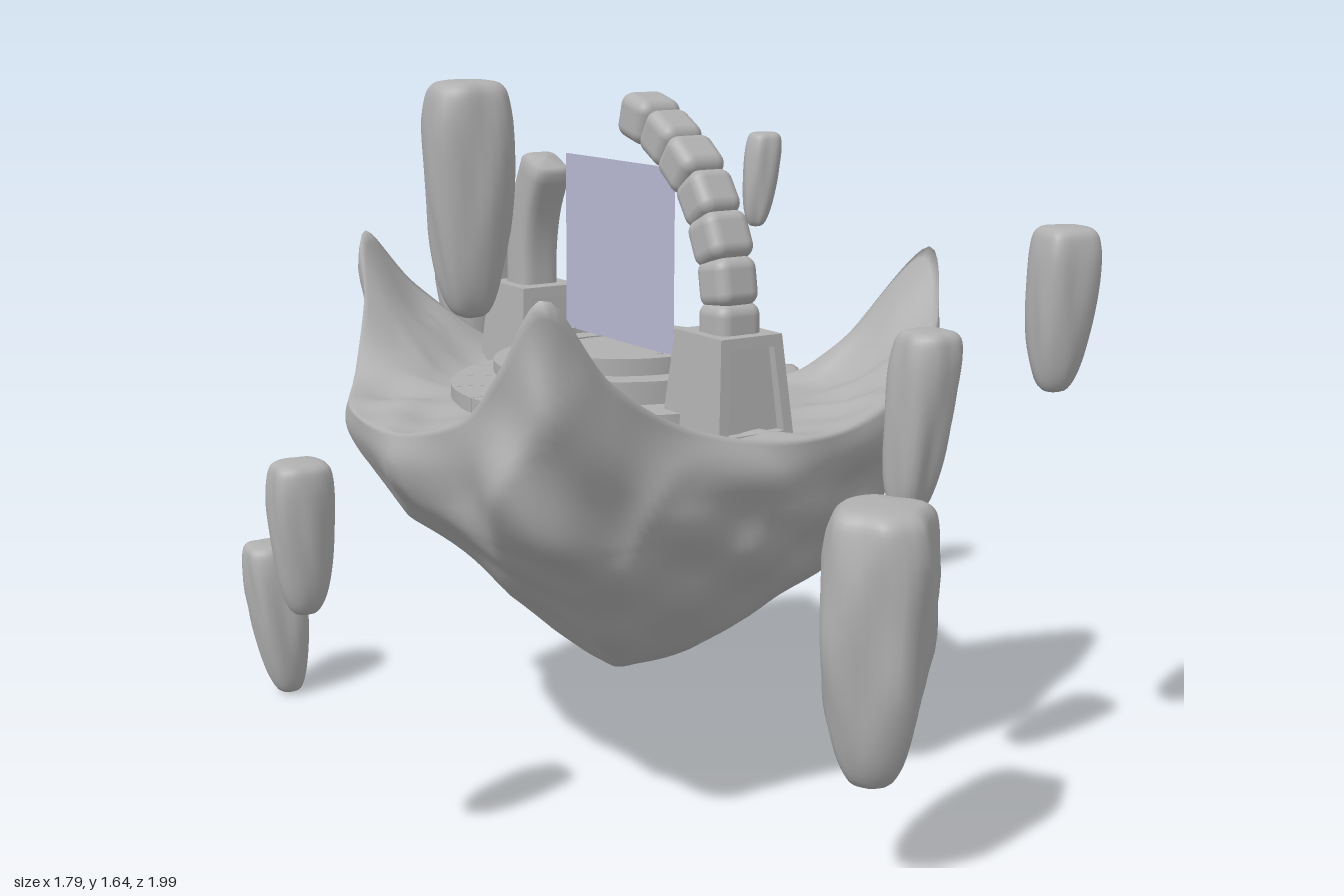
import * as THREE from 'three';
import { RoundedBoxGeometry } from 'three/addons/geometries/RoundedBoxGeometry.js';

const V = (x, y, z) => new THREE.Vector3(x, y, z);
const stone = new THREE.MeshStandardMaterial({ color: 0xb0b0b0 });
stone.name = 'grey stone';
const veil = new THREE.MeshStandardMaterial({ color: 0xb6b6d0, side: THREE.DoubleSide });
veil.name = 'pale violet';

function add(parent, name, geometry, material = stone) {
  const mesh = new THREE.Mesh(geometry, material);
  mesh.name = name;
  parent.add(mesh);
  return mesh;
}

// Smooth skin over closed rings, listed from the top down
function loft(rings) {
  const n = rings[0].length, pos = [], index = [];
  rings.forEach(r => r.forEach(p => pos.push(p.x, p.y, p.z)));
  for (let i = 0; i < rings.length - 1; i++) for (let j = 0; j < n; j++) {
    const a = i * n + j, b = i * n + (j + 1) % n;
    index.push(a, b, a + n, b, b + n, a + n);
  }
  const g = new THREE.BufferGeometry();
  g.setAttribute('position', new THREE.Float32BufferAttribute(pos, 3));
  g.setIndex(index);
  g.computeVertexNormals();
  return g;
}

// Ridged, repeatable surface roughness, roughly -1..1
function rough(x, y, z) {
  const a = Math.abs(Math.sin(7 * x + 3 * y + 1.5 * Math.sin(6 * z)));
  const b = Math.abs(Math.sin(8 * z - 5 * y + 1.3 * Math.sin(7 * x + 2)));
  const c = Math.sin(19 * x + 4 * y) * Math.sin(17 * z + 11 * y + 1);
  return 0.9 - 0.8 * a - 0.8 * b + 0.45 * c;
}

// Unit point on a rounded square
function square(angle, p = 4) {
  const c = Math.cos(angle), s = Math.sin(angle);
  const r = (Math.abs(c) ** p + Math.abs(s) ** p) ** (-1 / p);
  return [c * r, s * r];
}

// Floating island: rim outline with four peaks
function islandGeometry() {
  const cx = 0.06, cz = -0.01, ground = 0.885, n = 220;
  const outline = [
    [0.61, 0.88, 0.05], [0.67, 1.03, 0.13], [0.75, 1.21, 0.27], [0.69, 1.07, 0.37], [0.54, 0.96, 0.46],
    [0.38, 0.92, 0.55], [0.24, 0.89, 0.575], [0.08, 0.89, 0.575], [-0.13, 0.94, 0.54], [-0.31, 1.05, 0.55],
    [-0.47, 1.23, 0.56], [-0.51, 1.08, 0.46], [-0.5, 0.95, 0.29], [-0.53, 0.88, 0.05], [-0.5, 0.88, -0.24],
    [-0.4, 0.92, -0.42], [-0.32, 1.07, -0.53], [-0.27, 1.22, -0.625], [-0.13, 1.08, -0.645], [0.04, 0.94, -0.58],
    [0.12, 0.91, -0.6], [0.165, 0.92, -0.68], [0.21, 0.91, -0.6], [0.29, 0.9, -0.56], [0.43, 0.9, -0.48],
    [0.55, 0.89, -0.38], [0.54, 0.87, -0.32], [0.61, 0.88, -0.26], [0.59, 0.87, -0.18], [0.645, 0.88, -0.1], [0.61, 0.86, -0.01],
  ].map(p => V(...p));
  const rim = new THREE.CatmullRomCurve3(outline, true).getSpacedPoints(n).slice(0, n);
  // Softened, tighter outline for the body below the peaks
  const body = rim.map((_, j) => {
    const sum = V(0, 0, 0);
    for (let k = -10; k <= 10; k++) sum.add(rim[(j + k + n) % n]);
    sum.divideScalar(21);
    sum.x = Math.min(sum.x, 0.6 + (sum.x - 0.6) * 0.3);
    sum.z = Math.max(sum.z, -0.5 + (sum.z + 0.5) * 0.3);
    return sum;
  });
  const rings = [];
  // Upper ground, rising to the rim
  for (const s of [0, 0.3, 0.6, 0.66, 0.72, 0.78, 0.84, 0.89, 0.94, 0.98, 1]) {
    rings.push(rim.map(p => {
      const e = Math.max(0, (s - 0.62) / 0.38);
      const x = cx + (p.x - cx) * s, z = cz + (p.z - cz) * s;
      const bump = 0.018 * rough(x * 1.6, 0, z * 1.6) * Math.sin(Math.PI * e);
      return V(x, ground + (p.y - ground) * e ** 1.5 + bump, z);
    }));
  }
  // Underside, narrowing from the rim to the tip
  const profile = new THREE.CatmullRomCurve3([
    [1, 0.88], [1.02, 0.815], [0.98, 0.74], [0.9, 0.67], [0.77, 0.59],
    [0.56, 0.465], [0.32, 0.34], [0.14, 0.268], [0, 0.245]].map(([s, y]) => V(s, y, 0)));
  for (let i = 1; i <= 56; i++) {
    const t = i / 56, { x: s, y: level } = profile.getPoint(t);
    const blend = THREE.MathUtils.smoothstep(t, 0, 0.26);
    const lift = Math.max(0, 1 - t / 0.32) ** 1.4;
    const shift = s * Math.max(0, 1 - s);
    rings.push(rim.map((p, j) => {
      const y = level + (p.y - 0.88) * lift;
      const dx = (p.x + (body[j].x - p.x) * blend - cx) * s, dz = (p.z + (body[j].z - p.z) * blend - cz) * s;
      const k = 1 + 0.06 * (rough(cx + dx, y * 1.3, cz + dz) - 0.1) * Math.min(1, (p.y - y) * 6);
      return V(cx + dx * k + 0.12 * shift, y, cz + dz * k + 0.24 * shift);
    }));
  }
  return loft(rings);
}

// Tapering floating boulder, with rounded square sections
function shardGeometry({ x, z, y0, y1, w, d, turn = 0, dx = 0, dz = 0 }) {
  const steps = new THREE.CatmullRomCurve3([[0, 0], [0.5, 0.004], [0.78, 0.022], [0.92, 0.07], [1, 0.2], [0.97, 0.45],
    [0.85, 0.68], [0.67, 0.86], [0.42, 0.968], [0, 1]].map(([r, t]) => V(r, t, 0)));
  const rings = [];
  for (let i = 0; i <= 36; i++) {
    const { x: r, y: t } = steps.getPoint(i / 36), ring = [];
    for (let j = 0; j < 32; j++) {
      const [u, v] = square(j / 32 * Math.PI * 2, 3.2);
      const y = y1 + (y0 - y1) * t;
      const k = Math.max(0, r) * (1 + 0.08 * rough(u * 0.3 + x * 5, y * 1.5, v * 0.3 + z * 5));
      const a = u * w / 2 * k, b = v * d / 2 * k, c = Math.cos(turn), s = Math.sin(turn);
      ring.push(V(x + a * c - b * s + dx * t, y, z + a * s + b * c + dz * t));
    }
    rings.push(ring);
  }
  return loft(rings);
}

// Flat ring sector lying on the platform
function ringGeometry(inner, outer, height, from = 0, to = Math.PI * 2) {
  const shape = new THREE.Shape();
  shape.absarc(0, 0, outer, from, to, false);
  if (to - from > 6.28) {
    shape.holes.push(new THREE.Path().absarc(0, 0, inner, 0, Math.PI * 2, true));
  } else {
    shape.absarc(0, 0, inner, to, from, true);
  }
  const g = new THREE.ExtrudeGeometry(shape, { depth: height, bevelEnabled: false, curveSegments: to - from > 6 ? 64 : 8 });
  return g.rotateX(-Math.PI / 2);
}

function platform() {
  const group = new THREE.Group();
  group.name = 'platform';
  group.position.set(0.07, 0, -0.01);
  const disc = (name, r, y0, y1) =>
    add(group, name, new THREE.CylinderGeometry(r, r, y1 - y0, 64)).position.y = (y0 + y1) / 2;
  disc('lowerStep', 0.38, 0.82, 0.916);
  for (let i = 0; i < 18; i++) {
    const a = i / 18 * Math.PI * 2;
    add(group, 'pavingSlab', ringGeometry(0.28, 0.385, 0.03, a + 0.003, a + Math.PI / 9 - 0.003)).position.y = 0.89;
  }
  disc('middleStepNeck', 0.275, 0.9, 0.955);
  disc('middleStep', 0.287, 0.945, 0.972);
  disc('upperStep', 0.222, 0.96, 0.998);
  add(group, 'upperRim', ringGeometry(0.19, 0.232, 0.025)).position.y = 0.987;
  add(group, 'innerRidge', ringGeometry(0.125, 0.14, 0.004)).position.y = 0.997;
  return group;
}

// Tapered pedestal with recessed panels at both ends
function pedestal(z) {
  const group = new THREE.Group();
  group.name = 'pedestal';
  group.position.set(0.075, 0.88, z);
  const trapezoid = (b, t, y0, y1) => [[-b, y0], [b, y0], [t, y1], [-t, y1]].map(p => new THREE.Vector2(...p));
  const taper = (shape, depth) => {
    const g = new THREE.ExtrudeGeometry(shape, { depth, bevelEnabled: false }).translate(0, 0, -depth / 2);
    const p = g.attributes.position;
    for (let i = 0; i < p.count; i++) p.setZ(i, p.getZ(i) * (1 - p.getY(i)));
    g.computeVertexNormals();
    return g;
  };
  const frame = new THREE.Shape(trapezoid(0.096, 0.078, 0, 0.215));
  frame.holes.push(new THREE.Path(trapezoid(0.072, 0.056, 0.012, 0.19).reverse()));
  add(group, 'pedestalFrame', taper(frame, 0.212));
  add(group, 'pedestalCore', taper(new THREE.Shape(trapezoid(0.08, 0.062, 0, 0.205)), 0.165));
  return group;
}

// Curved front arm of separate blocks
function blockArm() {
  const group = new THREE.Group();
  group.name = 'frontArch';
  const path = new THREE.CatmullRomCurve3([V(0.075, 1.06, 0.41), V(0.075, 1.17, 0.405), V(0.075, 1.25, 0.388),
    V(0.075, 1.33, 0.35), V(0.075, 1.405, 0.295), V(0.075, 1.468, 0.21), V(0.075, 1.516, 0.115), V(0.075, 1.53, 0.055)]);
  const count = 7, length = path.getLength() / count;
  for (let i = 0; i < count; i++) {
    const u = (i + 0.5) / count, t = path.getTangentAt(u);
    const block = add(group, 'archBlock', new RoundedBoxGeometry(0.11 - 0.006 * (i % 2), length + 0.012, 0.1, 4, 0.028));
    block.position.copy(path.getPointAt(u));
    block.rotation.x = Math.atan2(t.z, t.y);
  }
  return group;
}

// Broken rear arm, one curved piece
function brokenArm() {
  const path = new THREE.CatmullRomCurve3([V(0.075, 1.05, -0.41), V(0.075, 1.18, -0.408), V(0.075, 1.28, -0.388), V(0.075, 1.385, -0.34)]);
  const rings = [];
  for (let i = 0; i <= 16; i++) {
    const u = Math.max(0, 1 - Math.max(0, i - 2) / 14);
    const k = [0, 0.8, 1][i] ?? 1, p = path.getPointAt(u), side = V(1, 0, 0).cross(path.getTangentAt(u));
    const ring = [];
    for (let j = 0; j < 28; j++) {
      const [a, b] = square(j / 28 * Math.PI * 2, 5);
      const q = p.clone().addScaledVector(side, b * 0.05 * k);
      q.x += a * 0.05 * k;
      if (i < 2) q.y += 0.016 - 0.006 * i;
      ring.push(q);
    }
    rings.push(ring);
  }
  return loft(rings);
}

export function createModel() {
  const model = new THREE.Group();
  model.name = 'floatingIsland';
  add(model, 'island', islandGeometry());
  model.add(platform(), pedestal(0.405), pedestal(-0.4), blockArm());
  add(model, 'rearArch', brokenArm());
  const portal = add(model, 'portal', new THREE.PlaneGeometry(0.45, 0.41), veil);
  portal.rotation.y = Math.PI / 2;
  portal.position.set(0.07, 1.215, -0.015);

  // Floating shards around the island
  [
    { x: 0.2, z: -0.89, y0: 0.66, y1: 1.255, w: 0.22, d: 0.205, dz: 0.01 },
    { x: -0.45, z: -0.87, y0: 0, y1: 0.4, w: 0.14, d: 0.14, dx: 0.03, dz: 0.04 },
    { x: 0.845, z: -0.5, y0: 1.17, y1: 1.42, w: 0.095, d: 0.09, turn: 0.5, dx: -0.025 },
    { x: -0.835, z: 0.24, y0: 0.585, y1: 0.9, w: 0.125, d: 0.125, turn: 0.15 },
    { x: -0.6, z: 0.515, y0: 1.2, y1: 1.64, w: 0.16, d: 0.15, turn: 0.2 },
    { x: 0.43, z: 0.635, y0: 0.69, y1: 1.1, w: 0.13, d: 0.135, dx: -0.03, dz: -0.02 },
    { x: 0.775, z: 0.675, y0: 0.935, y1: 1.3, w: 0.14, d: 0.135, turn: 0.25, dx: -0.02 },
    { x: 0.12, z: 0.865, y0: 0.23, y1: 0.82, w: 0.22, d: 0.23, turn: Math.PI / 4 + 0.1, dx: -0.01 },
    { x: 0.585, z: -0.365, y0: 0.245, y1: 0.685, w: 0.15, d: 0.145, turn: 0.6, dx: -0.04, dz: 0.01 },
  ].forEach(s => add(model, 'floatingShard', shardGeometry(s)));
  return model;
}
